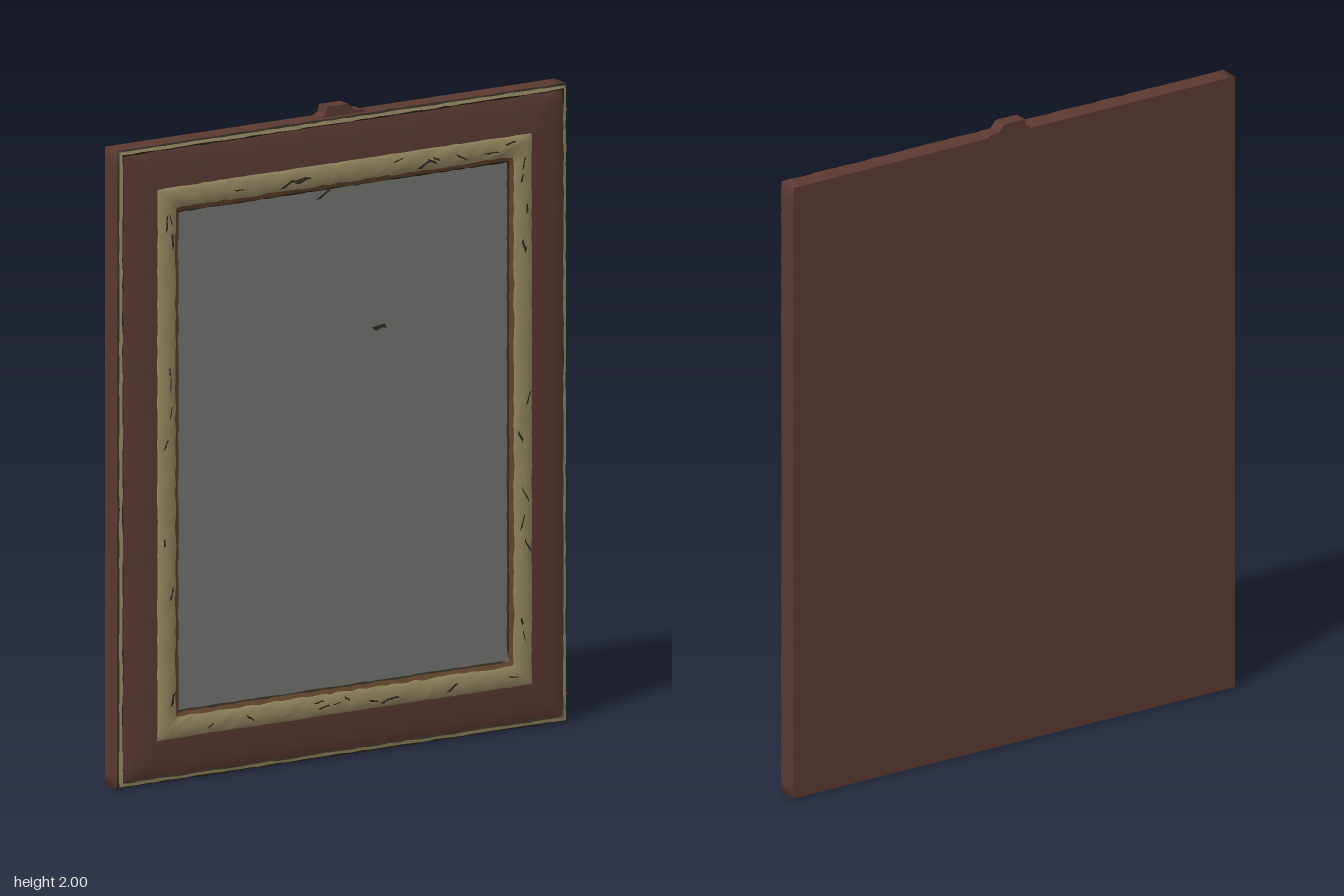
import * as THREE from 'three';

const HW = 0.805, HH = 0.984, CY = 0.984, BACK = -0.047;
const SEGS = 48; // divisions along each side of the frame

function seeded(seed) {
  let s = seed;
  return () => (s = (s * 16807) % 2147483647) / 2147483647;
}

const mat = (name, color) => {
  const m = new THREE.MeshStandardMaterial({ color });
  m.name = name;
  return m;
};

// Closed loop of points inset by d from the outer edge, with worn-edge wobble
function frameLoop({ d, z, wobD = 0, wobZ = 0 }, seed) {
  const rand = seeded(seed * 7919 + 17);
  const corners = [[1, -1], [1, 1], [-1, 1], [-1, -1]];
  const points = [];
  for (let side = 0; side < 4; side++) {
    const [ax, ay] = corners[side], [bx, by] = corners[(side + 1) % 4];
    for (let i = 0; i < SEGS; i++) {
      const t = i / SEGS;
      const inset = d + (rand() - 0.5) * wobD;
      points.push([
        (ax + (bx - ax) * t) * (HW - inset),
        CY + (ay + (by - ay) * t) * (HH - inset),
        z + (rand() - 0.5) * wobZ,
      ]);
    }
  }
  return points;
}

// Skin between successive loops, outermost first
function band(loops) {
  const n = SEGS * 4, index = [];
  for (let r = 0; r < loops.length - 1; r++) {
    for (let k = 0; k < n; k++) {
      const a = r * n + k, b = r * n + (k + 1) % n;
      index.push(a, b, b + n, a, b + n, a + n);
    }
  }
  const g = new THREE.BufferGeometry();
  g.setAttribute('position', new THREE.Float32BufferAttribute(loops.flat(2), 3));
  g.setIndex(index);
  g.computeVertexNormals();
  return g;
}

export function createModel() {
  const group = new THREE.Group();
  const wood = mat('red brown wood', 0x5c3932);
  const gold = mat('worn gold', 0x978a62);
  const bronze = mat('inner bronze', 0x68492f);
  const dark = mat('dark chips', 0x2f2a1f);
  const glass = mat('grey glass', 0x747573);

  const add = (name, geometry, material) => {
    const mesh = new THREE.Mesh(geometry, material);
    mesh.name = name;
    group.add(mesh);
    return mesh;
  };

  // Moulding profile, from the back edge round to the glass
  const loops = [
    { d: 0, z: BACK },
    { d: 0, z: 0.018, wobD: 0.003 },
    { d: 0.005, z: 0.023, wobD: 0.003 },
    { d: 0.015, z: 0.025, wobD: 0.004 },
    { d: 0.02, z: 0.021, wobD: 0.003 },
    { d: 0.05, z: 0.029 },
    { d: 0.134, z: 0.034, wobD: 0.003 },
    { d: 0.142, z: 0.040, wobD: 0.004, wobZ: 0.003 },
    { d: 0.165, z: 0.043, wobD: 0.01, wobZ: 0.004 },
    { d: 0.188, z: 0.040, wobD: 0.008, wobZ: 0.004 },
    { d: 0.199, z: 0.034, wobD: 0.006 },
    { d: 0.212, z: 0.029, wobD: 0.004 },
    { d: 0.217, z: 0.022, wobD: 0.003 },
  ].map((p, i) => frameLoop(p, i + 1));

  // [name, first loop, last loop, material]
  const bands = [
    ['sideWalls', 0, 1, wood],
    ['outerEdge', 1, 2, dark],
    ['outerGoldLine', 2, 3, gold],
    ['outerGroove', 3, 4, dark],
    ['woodMoulding', 4, 6, wood],
    ['goldRidge', 6, 10, gold],
    ['innerLip', 10, 11, bronze],
    ['innerShadowLine', 11, 12, dark],
  ];
  for (const [name, from, to, material] of bands) {
    add(name, band(loops.slice(from, to + 1)), material);
  }

  // Glass and back panel
  const pane = add('glass', new THREE.PlaneGeometry(2 * (HW - 0.212), 2 * (HH - 0.212)), glass);
  pane.position.set(0, CY, 0.023);
  const back = add('backPanel', new THREE.PlaneGeometry(2 * HW, 2 * HH), wood);
  back.position.set(0, CY, BACK);
  back.rotation.y = Math.PI;

  // Hanging tab on the top edge
  const tab = new THREE.Shape([
    [-0.06, 1.955], [0.11, 1.955], [0.09, 1.975], [0.055, 1.978],
    [0.035, 2.0], [-0.04, 2.0], [-0.045, 1.978], [-0.06, 1.97],
  ].map(([x, y]) => new THREE.Vector2(x, y)));
  const hanger = add('hangingTab', new THREE.ExtrudeGeometry(tab, { depth: 0.046, bevelEnabled: false }), wood);
  hanger.position.z = BACK + 0.001;

  // Thin lens-shaped chips in the gilding
  const chip = (name, x, y, z, length, width, angle) => {
    const s = new THREE.Shape([
      [-0.5, 0.1], [-0.2, -0.5], [0.15, -0.2], [0.5, -0.3], [0.35, 0.3], [-0.1, 0.2],
    ].map(([u, v]) => new THREE.Vector2(u * length, v * width)));
    const mesh = add(name, new THREE.ShapeGeometry(s), dark);
    mesh.position.set(x, y, z);
    mesh.rotation.z = angle;
  };
  const rand = seeded(4242);
  for (let i = 0; i < 44; i++) {
    const t = rand() * 2 - 1, inset = 0.152 + rand() * 0.03;
    const sign = i % 2 ? 1 : -1, upright = i % 4 < 2;
    const x = upright ? sign * (HW - inset) : t * 0.6;
    const y = CY + (upright ? t * 0.78 : sign * (HH - inset));
    const angle = (upright ? Math.PI / 2 : 0) + (rand() - 0.5) * 1.2;
    chip('gildingChip', x, y, 0.0455, 0.025 + rand() * 0.04, 0.006 + rand() * 0.008, angle);
  }
  chip('glassChip', 0.13, 1.305, 0.025, 0.055, 0.022, 0.05);
  chip('glassChip', -0.07, 1.738, 0.025, 0.06, 0.012, 0.5);

  return group;
}
